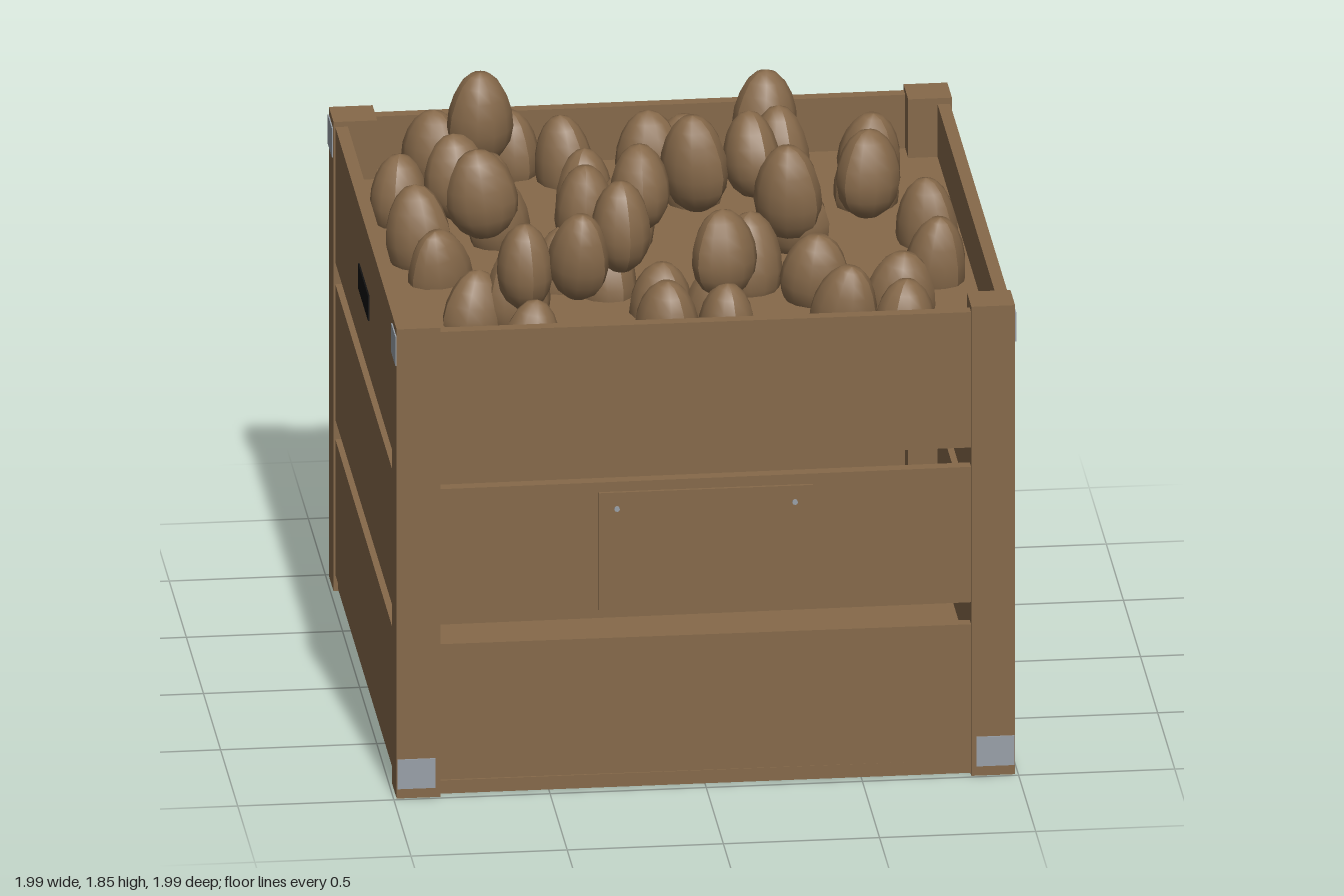
import * as THREE from 'three';

const mat = (name, color) => {
  const m = new THREE.MeshStandardMaterial({ color });
  m.name = name;
  return m;
};

export function createModel() {
  const wood = mat('brown wood', 0x86694a);
  const steel = mat('grey steel', 0x99a0a8);
  const black = mat('black opening', 0x111111);
  const crate = new THREE.Group();
  crate.name = 'crate';

  const box = (name, size, pos, material = wood) => {
    const mesh = new THREE.Mesh(new THREE.BoxGeometry(...size), material);
    mesh.name = name;
    mesh.position.set(...pos);
    crate.add(mesh);
    return mesh;
  };

  // Corner posts
  for (const x of [-1, 1])
    for (const z of [-1, 1])
      box('cornerPost', [0.14, 1.6, 0.135], [x * 0.92, 0.8, z * 0.922]);

  // Floor, and the surface the heap rests on
  box('floor', [1.95, 0.045, 1.95], [0, 0.0275, 0]);
  box('fillSurface', [1.9, 0.03, 1.9], [0, 1.385, 0]);

  // Three slightly uneven slats on each wall
  [0.285, 0.818, 1.35].forEach((y, i) => {
    const tilt = [-0.002, 0.003, -0.002][i];
    for (const s of [-1, 1]) {
      box('endSlat', [1.74, 0.462, 0.04], [0, y, s * 0.962]).rotation.z = tilt * s;
      box('sideSlat', [0.04, 0.462, 1.74], [s * 0.964, y, 0]).rotation.x = tilt * s;
    }
  });

  // Hand holds on both sides
  for (const s of [-1, 1])
    box('handHold', [0.006, 0.085, 0.29], [s * 0.986, 1.347, -0.003], black);

  // Steel plates: wall axis, wall sign, position along the wall, height
  const plates = [
    ['z', 1, -1, 0.083], ['z', 1, 1, 0.083],
    ['z', -1, 1, 1.525], ['z', -1, -1, 0.083],
    ['x', 1, 1, 1.525], ['x', 1, -1, 0.083],
    ['x', -1, -1, 1.525], ['x', -1, 1, 1.525],
  ];
  for (const [axis, s, along, y] of plates) {
    if (axis === 'z') box('cornerPlate', [0.122, 0.1, 0.006], [along * 0.927, y, s * 0.991], steel);
    else box('cornerPlate', [0.006, 0.1, 0.122], [s * 0.991, y, along * 0.927], steel);
  }

  // Blank front plaque with two small screws
  box('plaque', [0.685, 0.4, 0.012], [0, 0.815, 0.986]);
  for (const x of [-0.285, 0.285]) {
    const screw = new THREE.Mesh(new THREE.CylinderGeometry(0.009, 0.009, 0.008, 8), steel);
    screw.name = 'screw';
    screw.rotation.x = Math.PI / 2;
    screw.position.set(x, 0.96, 0.994);
    crate.add(screw);
  }

  // Potato: a lumpy sphere that narrows towards the top
  const geo = new THREE.SphereGeometry(1, 12, 9);
  const p = geo.attributes.position;
  for (let i = 0; i < p.count; i++) {
    const x = p.getX(i), y = p.getY(i), z = p.getZ(i);
    const r = 1 - 0.1 * y + 0.05 * Math.sin(3 * x + 2 * y) * Math.cos(2 * z);
    p.setXYZ(i, x * r, y, z * r);
  }
  geo.computeVertexNormals();

  let seed = 7;
  const rand = () => (seed = (seed * 16807) % 2147483647) / 2147483647;

  // Heap of potatoes: x, z, top height
  const heap = [
    [-0.67, -0.84, 1.63], [-0.43, -0.88, 1.61], [-0.26, -0.78, 1.62], [-0.54, -0.69, 1.82],
    [0.12, -0.84, 1.59], [0.38, -0.77, 1.75], [0.71, -0.71, 1.62], [-0.82, -0.49, 1.62],
    [-0.54, -0.49, 1.62], [-0.24, -0.37, 1.66], [-0.03, -0.40, 1.77], [0.13, -0.57, 1.62],
    [0.39, -0.42, 1.76], [0.67, -0.47, 1.61], [-0.66, -0.26, 1.77], [-0.53, -0.26, 1.64],
    [0.10, -0.26, 1.81], [0.28, -0.25, 1.81], [-0.80, -0.11, 1.66], [-0.60, -0.10, 1.78],
    [-0.75, 0.05, 1.58], [-0.15, -0.08, 1.68], [-0.10, -0.03, 1.80], [0.40, -0.10, 1.65],
    [0.38, -0.07, 1.77], [0.64, -0.11, 1.79], [0.83, -0.11, 1.62], [-0.37, 0.14, 1.60],
    [-0.24, 0.20, 1.60], [-0.29, 0.10, 1.79], [-0.20, 0.33, 1.82], [0.23, 0.22, 1.65],
    [0.42, 0.21, 1.55], [0.42, 0.36, 1.63], [0.82, 0.22, 1.62], [-0.68, 0.43, 1.57],
    [-0.54, 0.41, 1.64], [-0.08, 0.41, 1.57], [0.09, 0.45, 1.57], [0.10, 0.60, 1.81],
    [-0.54, 0.62, 1.80], [-0.54, 0.78, 1.60], [-0.37, 0.66, 1.85], [-0.09, 0.67, 1.61],
    [0.10, 0.69, 1.60], [0.48, 0.66, 1.64], [0.66, 0.77, 1.62], [0.68, 0.47, 1.60],
  ];
  for (const [x, z, top] of heap) {
    const potato = new THREE.Mesh(geo, wood);
    const h = 0.14 + 0.03 * rand();
    potato.name = 'potato';
    potato.scale.set(0.1 + 0.015 * rand(), h, 0.085 + 0.015 * rand());
    potato.rotation.set(0.3 * (rand() - 0.5), rand() * Math.PI, 0.3 * (rand() - 0.5));
    potato.position.set(x, top - h, z);
    crate.add(potato);
  }
  return crate;
}
